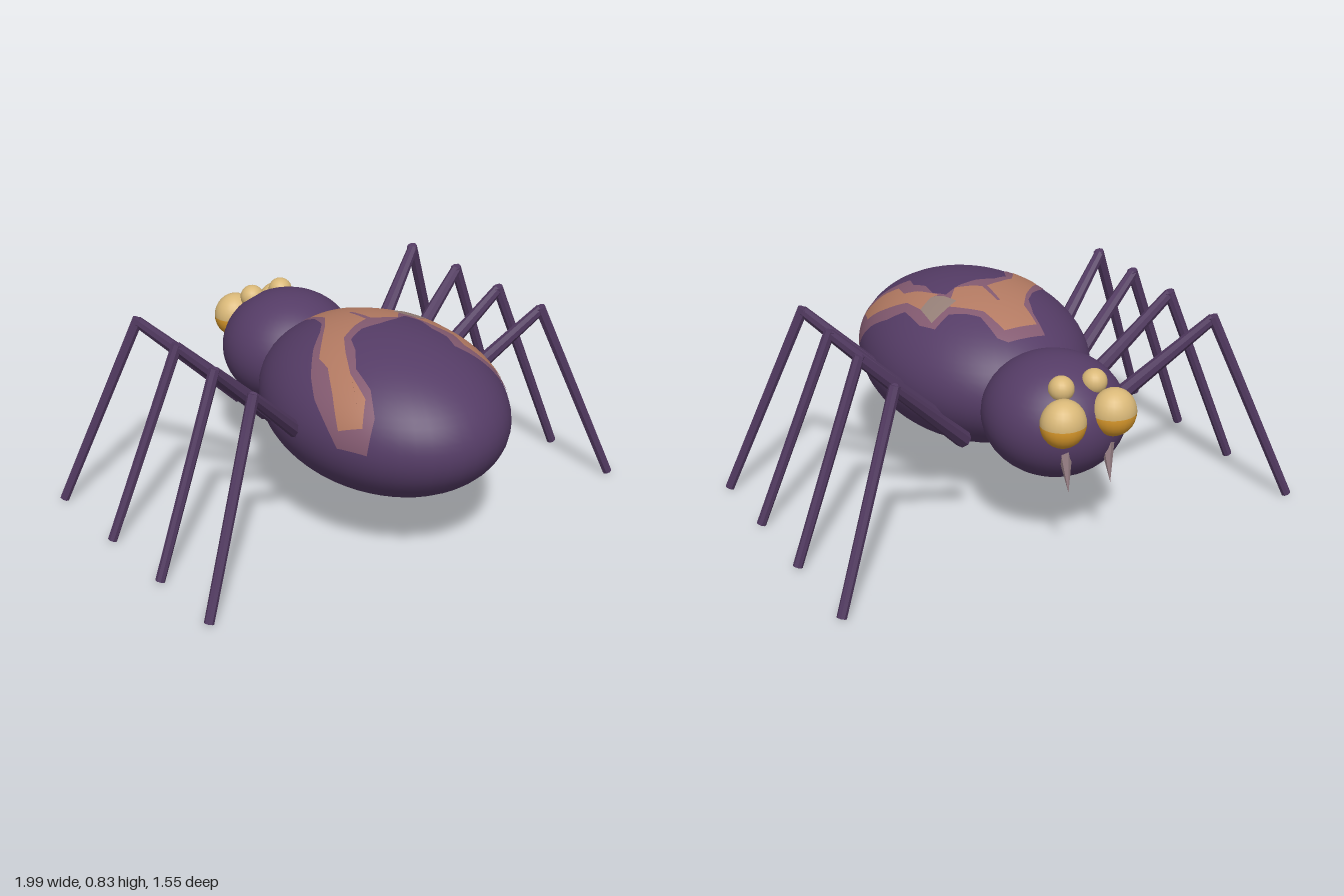
import * as THREE from 'three';

const mat = (name, color, side = THREE.FrontSide) => {
  const m = new THREE.MeshStandardMaterial({ color, side });
  m.name = name;
  return m;
};

// abdomen centre and radii
const C = [0, 0.515, 0.2], R = [0.435, 0.315, 0.575];

// Plan points [x, z] in hundredths -> thin patch wrapped over the abdomen
function wrapPatch(points, lift) {
  const flat = points.map(([x, z]) => {
    const u = x / 100 / R[0], v = (z / 100 - C[2]) / R[2];
    const rho = Math.max(Math.hypot(u, v), 1e-6);
    const k = Math.asin(Math.min(rho, 0.999)) / rho;
    return new THREE.Vector2(u * k, -v * k);
  });
  let g = new THREE.ShapeGeometry(new THREE.Shape(flat)).toNonIndexed();
  const p = g.attributes.position, out = [];
  const put = (q) => {
    const a = Math.max(q.length(), 1e-6), s = Math.sin(a) / a;
    out.push(q.x * s, Math.cos(a), -q.y * s);
  };
  const split = (a, b, c, n) => {
    if (!n) return [a, b, c].forEach(put);
    const ab = a.clone().lerp(b, 0.5), bc = b.clone().lerp(c, 0.5), ca = c.clone().lerp(a, 0.5);
    split(a, ab, ca, n - 1);
    split(ab, b, bc, n - 1);
    split(ca, bc, c, n - 1);
    split(ab, bc, ca, n - 1);
  };
  for (let i = 0; i < p.count; i += 3) {
    split(...[0, 1, 2].map(j => new THREE.Vector2(p.getX(i + j), p.getY(i + j))), 4);
  }
  g = new THREE.BufferGeometry();
  g.setAttribute('position', new THREE.Float32BufferAttribute(out, 3));
  g.setAttribute('normal', new THREE.Float32BufferAttribute(out, 3));
  return g.scale(R[0] * lift, R[1] * lift, R[2] * lift);
}

export function createModel() {
  const model = new THREE.Group();
  model.name = 'spider';
  const purple = mat('purple', 0x553c66);
  const mauve = mat('mauve', 0x835a70);
  const rust = mat('rust', 0xb37a62);
  const grey = mat('grey', 0x968078);
  const cream = mat('cream', 0xd9b878);
  const amber = mat('amber', 0xdb9a2c);
  const fangMat = mat('fang', 0x9a8288);
  const legMat = mat('leg purple', 0x513960);
  legMat.flatShading = true;
  fangMat.flatShading = true;

  const add = (name, geo, material, pos = [0, 0, 0], scale = [1, 1, 1]) => {
    const m = new THREE.Mesh(geo, material);
    m.name = name;
    m.position.set(...pos);
    m.scale.set(...scale);
    model.add(m);
    return m;
  };

  // abdomen and head
  add('abdomen', new THREE.SphereGeometry(1, 48, 32), purple, C, R);
  add('head', new THREE.SphereGeometry(1, 40, 24), purple, [0, 0.5125, -0.45], [0.275, 0.235, 0.28]);

  // back markings: mauve border, rust fill, grey spot
  const border = [[-9, -22], [7, -22], [10, -19], [11, -7], [15, -2], [20, 2], [27, 0], [30, 7], [30, 20],
    [35, 26], [38, 35], [40, 44], [36, 52], [32.5, 57], [25, 49], [17, 42], [19, 35], [17, 28], [18, 20], [15, 14],
    [8, 17], [0, 18], [-8, 17], [-15, 20], [-18, 27], [-23.5, 35], [-25, 46], [-29, 54], [-34, 56],
    [-39.5, 45], [-38, 29], [-34, 21], [-26, 11], [-18, 4], [-13, -2], [-10, -11]];
  const fillLeft = [[-8, -17], [6, -17], [8.5, -5], [14, 1], [18, 6], [14, 11], [10, 16], [3, 13], [0.6, 11], [0.4, -1],
    [-0.8, -1], [-1.5, 11], [-8, 13], [-16, 17], [-21, 25], [-26, 35], [-28, 47], [-33, 52],
    [-38, 44], [-34, 35], [-29, 25], [-28, 18], [-21, 10], [-14, 2], [-8.5, -6]];
  const fillRight = [[17, 16], [20, 17], [26, 14], [27, 24], [32, 32], [36, 42], [33, 51], [27, 46], [23, 40], [24.5, 32], [21, 27]];
  const spot = [[14, 7], [20, 5], [26.5, 3.5], [26, 14], [20, 17], [18, 16], [16, 13]];
  add('markingBorder', wrapPatch(border, 1.006), mauve, C);
  add('markingFill', wrapPatch(fillLeft, 1.012), rust, C);
  add('markingFillSide', wrapPatch(fillRight, 1.012), rust, C);
  add('markingSpot', wrapPatch(spot, 1.014), grey, C);

  // tapered leg segment between two points
  const limb = (name, a, b, ra, rb) => {
    const from = new THREE.Vector3(...a), dir = new THREE.Vector3(...b).sub(from);
    const m = add(name, new THREE.CylinderGeometry(rb, ra, dir.length(), 8), legMat);
    m.position.copy(from).addScaledVector(dir, 0.5);
    m.quaternion.setFromUnitVectors(new THREE.Vector3(0, 1, 0), dir.normalize());
  };
  const legZ = [[-0.325, -0.495, -0.65], [-0.135, -0.195, -0.245], [0.0, 0.075, 0.125], [0.17, 0.335, 0.475]];

  for (const s of [1, -1]) {
    const side = s > 0 ? 'left' : 'right';
    // legs: hip, knee, foot
    legZ.forEach(([hip, knee, foot], i) => {
      limb(`${side}UpperLeg${i + 1}`, [s * 0.32, 0.42, hip], [s * 0.68, 0.775, knee], 0.034, 0.022);
      limb(`${side}LowerLeg${i + 1}`, [s * 0.675, 0.785, knee], [s * 0.978, 0.01, foot], 0.022, 0.019);
    });
    // large two-tone eyes, small eyes
    const eye = [s * 0.107, 0.592, -0.697], eyeR = [0.088, 0.092, 0.081];
    add(`${side}EyeUpper`, new THREE.SphereGeometry(1, 24, 8, 0, Math.PI * 2, 0, Math.PI / 2), cream, eye, eyeR);
    add(`${side}EyeLower`, new THREE.SphereGeometry(1, 24, 8, 0, Math.PI * 2, Math.PI / 2, Math.PI / 2), amber, eye, eyeR);
    add(`${side}SmallEye`, new THREE.SphereGeometry(0.049, 20, 14), cream, [s * 0.07, 0.69, -0.617]);
    // fangs
    const fang = add(`${side}Fang`, new THREE.ConeGeometry(0.032, 0.18, 6), fangMat, [s * 0.09, 0.403, -0.697]);
    fang.rotation.x = Math.PI + 0.2;
  }
  return model;
}
